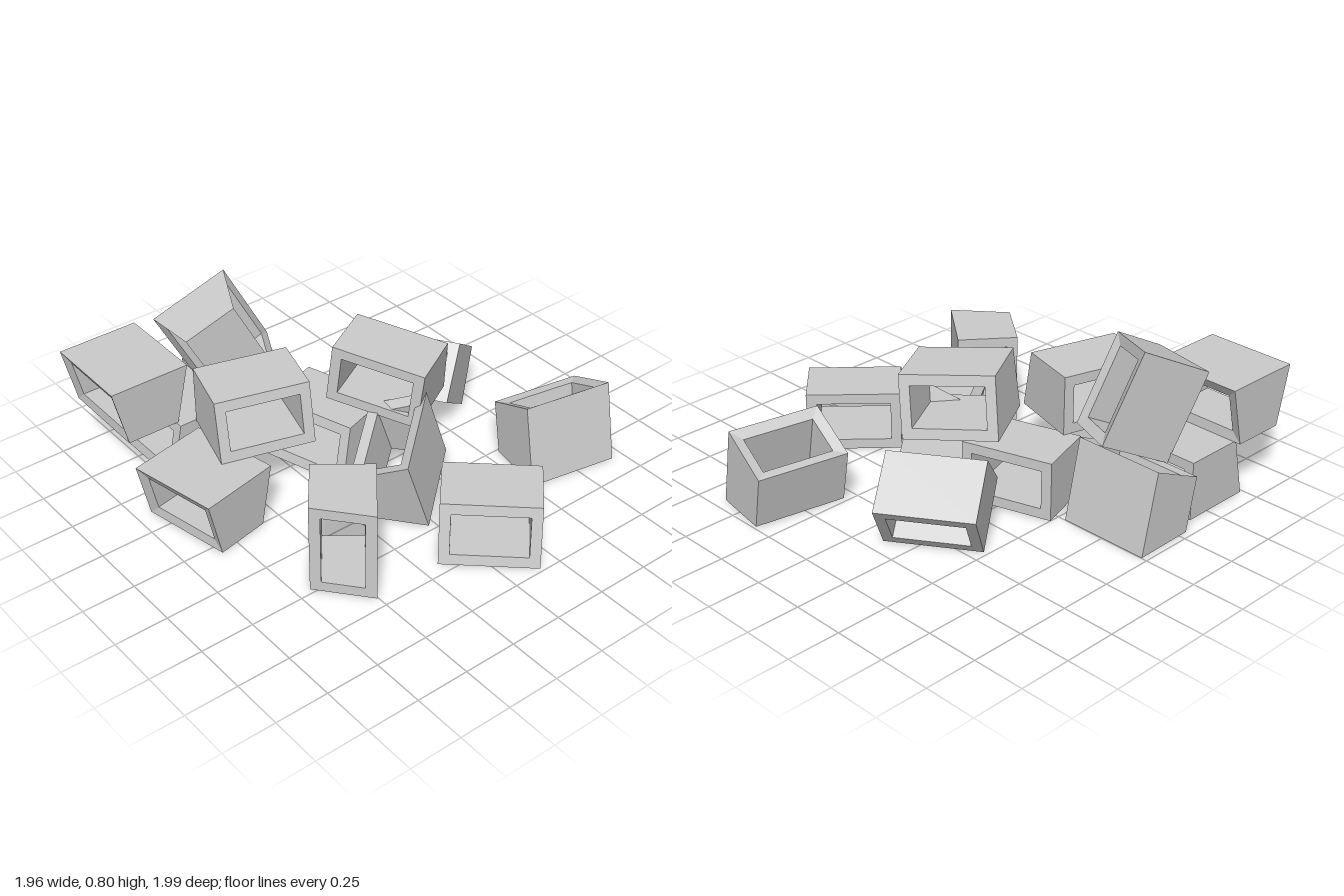
import * as THREE from 'three';

const W = 0.2175, H = 0.14, WALL = 0.048;

// Hollow block open along z; its ends slant so the underside (-y) is longer.
// frontSlant / backSlant: half the length difference per end; recess: funnel depth of the rims.
function hollowBlock(frontSlant, backSlant, recess) {
  const half = 0.16;
  const ring = (w, h, end) => [[-1, -1], [1, -1], [1, 1], [-1, 1]].map(([sx, sy]) => {
    const y = sy * h;
    const slant = end > 0 ? frontSlant : backSlant;
    const inset = w < W ? recess : 0;
    return [sx * w, y, end * (half - slant * y / H - inset)];
  });
  const outF = ring(W, H, 1), outB = ring(W, H, -1);
  const inF = ring(W - WALL, H - WALL, 1), inB = ring(W - WALL, H - WALL, -1);
  const pos = [];
  const quad = (a, b, c, d) => pos.push(...a, ...b, ...c, ...a, ...c, ...d);
  for (let i = 0; i < 4; i++) {
    const j = (i + 1) % 4;
    quad(outF[i], outB[i], outB[j], outF[j]); // outer wall
    quad(inF[j], inB[j], inB[i], inF[i]);     // inner wall
    quad(outF[i], outF[j], inF[j], inF[i]);   // front rim
    quad(outB[j], outB[i], inB[i], inB[j]);   // back rim
  }
  const geo = new THREE.BufferGeometry();
  geo.setAttribute('position', new THREE.Float32BufferAttribute(pos, 3));
  geo.computeVertexNormals();
  return geo;
}

export function createModel() {
  const group = new THREE.Group();
  group.name = 'blockPile';
  const mat = new THREE.MeshStandardMaterial({ color: 0xcccccc, flatShading: true });
  const single = hollowBlock(0.03, 0, 0);        // one slanted end
  const wedge = hollowBlock(0.0325, 0.0325, 0.015); // both ends slanted
  const Q = Math.PI / 2, LEAN = -Q - 0.21;

  // name, geometry, position, pitch, yaw, roll, rotation order
  const blocks = [
    ['flatBlockLeft', single, [0.70, 0.14, -0.117], 0, 0.825, 0],
    ['stackedBlockCentre', single, [-0.268, 0.42, 0.426], 0, 1.29, 0],
    ['sideStandingBlock', single, [0.466, 0.22, 0.502], 0, 0.902, Q],
    ['flatBlockRight', single, [-0.705, 0.14, 0.54], 0, 0, 0],
    ['flatBlockMiddle', single, [-0.25, 0.14, 0.033], 0, 0.3, 0],
    ['topTiltedBlock', single, [-0.03, 0.485, -0.143], 0, 0.51 + Math.PI, 0.12],
    ['backTiltedBlock', single, [-0.275, 0.208, -0.517], -0.61, 0.585, 0],
    ['frontInvertedBlock', wedge, [-0.18, 0.14, 0.759], 0, 0.2, Math.PI],
    ['stackedInvertedBlock', wedge, [-0.74, 0.42, 0.785], 0, -0.01, Math.PI],
    ['backUprightBlock', wedge, [0.416, 0.155, -0.758], LEAN, 1.39, 0],
    ['rightUprightBlock', wedge, [-0.755, 0.155, 0.18], LEAN, Math.PI, 0],
    ['topLeaningBlock', wedge, [-0.637, 0.516, 0.33], 0.47, -0.25, -Q],
    ['middleLeaningBlock', wedge, [0.235, 0.215, 0.02], LEAN, 2.256, 0.24, 'YZX'],
  ];
  for (const [name, geo, p, pitch, yaw, roll, order = 'YXZ'] of blocks) {
    const mesh = new THREE.Mesh(geo, mat);
    mesh.name = name;
    mesh.position.set(...p);
    mesh.rotation.set(pitch, yaw, roll, order);
    group.add(mesh);
  }
  return group;
}
